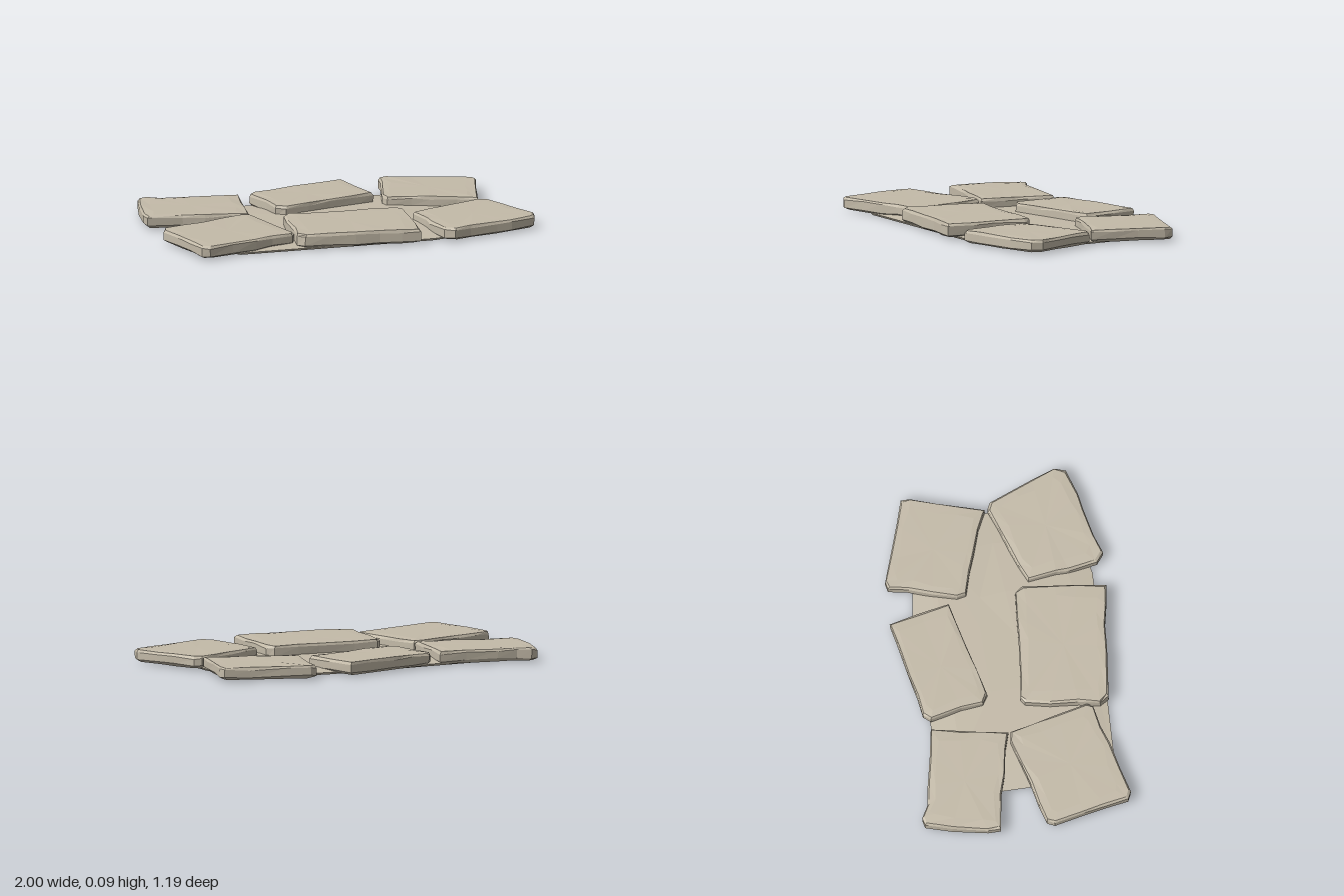
import * as THREE from 'three';

// small seeded generator for the chipped edges, returns -1..1
function makeNoise(seed) {
  let s = seed;
  return () => {
    s = (s * 16807) % 2147483647;
    return (s / 2147483647) * 2 - 1;
  };
}

// Main corners of each paving stone as [x, z], clockwise seen from above
const stones = [
  { name: 'backLeftStone', top: 0.078, corners: [
    [-0.91, -0.58], [-0.87, -0.59], [-0.8, -0.55], [-0.37, -0.47], [-0.45, -0.06], [-0.8, -0.15], [-0.99, -0.18], [-0.99, -0.25]] },
  { name: 'backMiddleStone', top: 0.08, corners: [
    [-0.32, -0.46], [-0.29, -0.5], [0.25, -0.6], [0.29, -0.43], [0.32, -0.27], [-0.22, -0.14], [-0.27, -0.17], [-0.28, -0.29]] },
  { name: 'backRightStone', top: 0.077, corners: [
    [0.45, -0.58], [0.49, -0.59], [0.94, -0.44], [0.94, -0.39], [0.82, 0], [0.72, -0.05], [0.36, -0.17], [0.35, -0.22]] },
  { name: 'frontLeftStone', top: 0.078, corners: [
    [-1, 0.11], [-0.98, 0.07], [-0.5, -0.06], [-0.45, -0.05], [-0.35, 0.38], [-0.37, 0.41], [-0.88, 0.54], [-0.92, 0.52]] },
  { name: 'frontMiddleStone', top: 0.088, corners: [
    [-0.3, 0.05], [-0.27, 0.03], [0.33, 0.09], [0.36, 0.13], [0.3, 0.58], [0.08, 0.54], [-0.33, 0.5], [-0.36, 0.45]] },
  { name: 'frontRightStone', top: 0.077, corners: [
    [0.39, 0.17], [0.48, 0.13], [0.82, 0.01], [0.86, 0.03], [1, 0.4], [0.98, 0.46], [0.49, 0.59], [0.44, 0.55]] },
];

const bedOutline = [
  [-0.76, -0.46], [0.3, -0.47], [0.78, -0.4], [0.82, 0], [0.78, 0.44], [0.4, 0.52], [-0.7, 0.48], [-0.76, 0.4]];

// Split long edges into short, slightly worn steps
function wornOutline(corners, seed) {
  const noise = makeNoise(seed);
  return corners.flatMap(([x, z], i) => {
    const [x2, z2] = corners[(i + 1) % corners.length];
    const dx = x2 - x, dz = z2 - z, length = Math.hypot(dx, dz);
    const points = [[x, z]];
    const steps = Math.max(1, Math.round(length / 0.14));
    for (let k = 1; k < steps; k++) {
      const t = (k + noise() * 0.25) / steps, w = noise() * 0.008 / length;
      points.push([x + dx * t - dz * w, z + dz * t + dx * w]);
    }
    return points;
  });
}

// Loft from rings { y, scale, jitter, lift }, bottom to top, closed at both ends
function slabGeometry(outline, rings, seed) {
  const noise = makeNoise(seed);
  const n = outline.length;
  const cx = outline.reduce((a, p) => a + p[0], 0) / n;
  const cz = outline.reduce((a, p) => a + p[1], 0) / n;
  const pos = [], index = [];
  for (const { y, scale, jitter = 0, lift = 0 } of rings) {
    for (const [x, z] of outline) {
      const k = scale + noise() * jitter;
      pos.push(cx + (x - cx) * k, y + noise() * lift, cz + (z - cz) * k);
    }
  }
  const bottom = pos.length / 3, top = bottom + 1;
  pos.push(cx, rings[0].y, cz, cx, rings[rings.length - 1].y, cz);
  const last = (rings.length - 1) * n;
  for (let i = 0; i < n; i++) {
    const j = (i + 1) % n;
    for (let r = 0; r < last; r += n) {
      index.push(r + j, r + i, r + n + i, r + j, r + n + i, r + n + j);
    }
    index.push(bottom, i, j, top, last + j, last + i);
  }
  const geometry = new THREE.BufferGeometry();
  geometry.setAttribute('position', new THREE.Float32BufferAttribute(pos, 3));
  geometry.setIndex(index);
  const flat = geometry.toNonIndexed();
  flat.computeVertexNormals();
  return flat;
}

export function createModel() {
  const group = new THREE.Group();
  group.name = 'stonePaving';
  const stone = new THREE.MeshStandardMaterial({ color: 0xc4bba9 });
  stone.name = 'paleStone';

  const add = (name, geometry) => {
    const mesh = new THREE.Mesh(geometry, stone);
    mesh.name = name;
    group.add(mesh);
  };

  // Thin bed, gently raised in the middle
  add('bed', slabGeometry(bedOutline, [
    { y: 0, scale: 0.98 },
    { y: 0.012, scale: 1 },
    { y: 0.026, scale: 0.75, lift: 0.003 },
    { y: 0.032, scale: 0.35, lift: 0.003 },
  ], 11));

  // Paving stones: undercut foot, upright sides, chipped top edge
  stones.forEach(({ name, top, corners }, i) => {
    const seed = 1013 + i * 7919;
    add(name, slabGeometry(wornOutline(corners, seed), [
      { y: 0.003, scale: 0.72 },
      { y: 0.008, scale: 0.92, jitter: 0.015, lift: 0.002 },
      { y: 0.022, scale: 0.995, jitter: 0.005, lift: 0.005 },
      { y: top - 0.015, scale: 0.995, jitter: 0.005, lift: 0.005 },
      { y: top - 0.002, scale: 0.965, jitter: 0.015, lift: 0.002 },
      { y: top, scale: 0.8, jitter: 0.05, lift: 0.0015 },
    ], seed));
  });
  return group;
}
